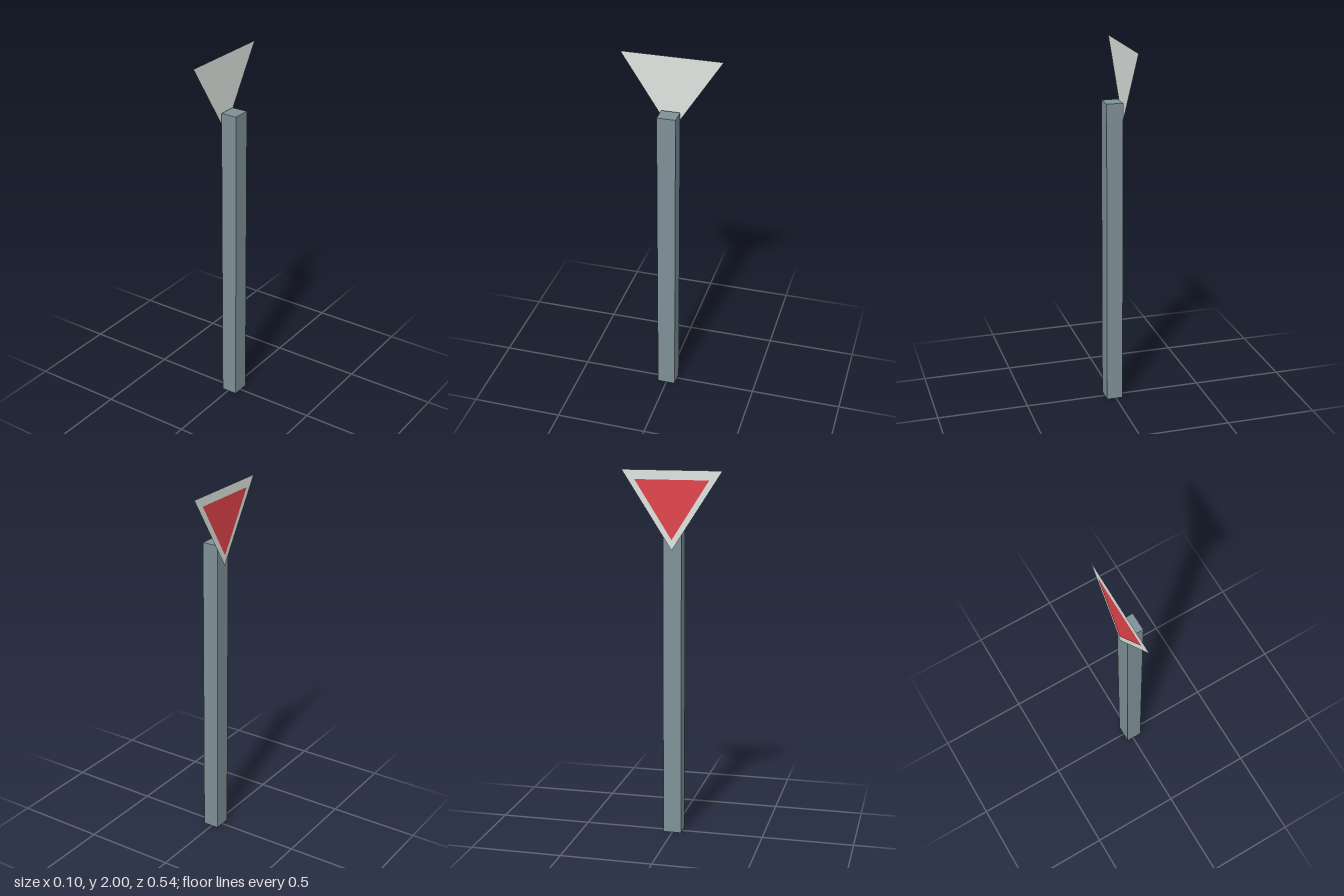
import * as THREE from 'three';

const postGrey = new THREE.MeshStandardMaterial({ name: 'post grey', color: 0x7f9198 });
const panelGrey = new THREE.MeshStandardMaterial({ name: 'pale panel grey', color: 0xdfe5e0, side: THREE.DoubleSide });
const signRed = new THREE.MeshStandardMaterial({ name: 'sign red', color: 0xe2434a, side: THREE.DoubleSide });

// Flat triangle pointing down, facing -x
function downTriangle(name, halfWidth, top, tip, x, material) {
  const shape = new THREE.Shape([
    new THREE.Vector2(-halfWidth, top),
    new THREE.Vector2(0, tip),
    new THREE.Vector2(halfWidth, top),
  ]);
  const mesh = new THREE.Mesh(new THREE.ShapeGeometry(shape), material);
  mesh.name = name;
  mesh.rotation.y = -Math.PI / 2;
  mesh.position.x = x;
  return mesh;
}

export function createModel() {
  const model = new THREE.Group();
  model.name = 'yieldSign';

  // Square post
  const post = new THREE.Mesh(new THREE.BoxGeometry(0.09, 1.7, 0.1), postGrey);
  post.name = 'post';
  post.position.set(0.007, 0.85, 0);

  // Sign panel with the red triangle just in front of it
  const panel = downTriangle('signPanel', 0.27, 2, 1.58, -0.05, panelGrey);
  const face = downTriangle('redTriangle', 0.2, 1.95, 1.635, -0.052, signRed);

  model.add(post, panel, face);
  return model;
}
